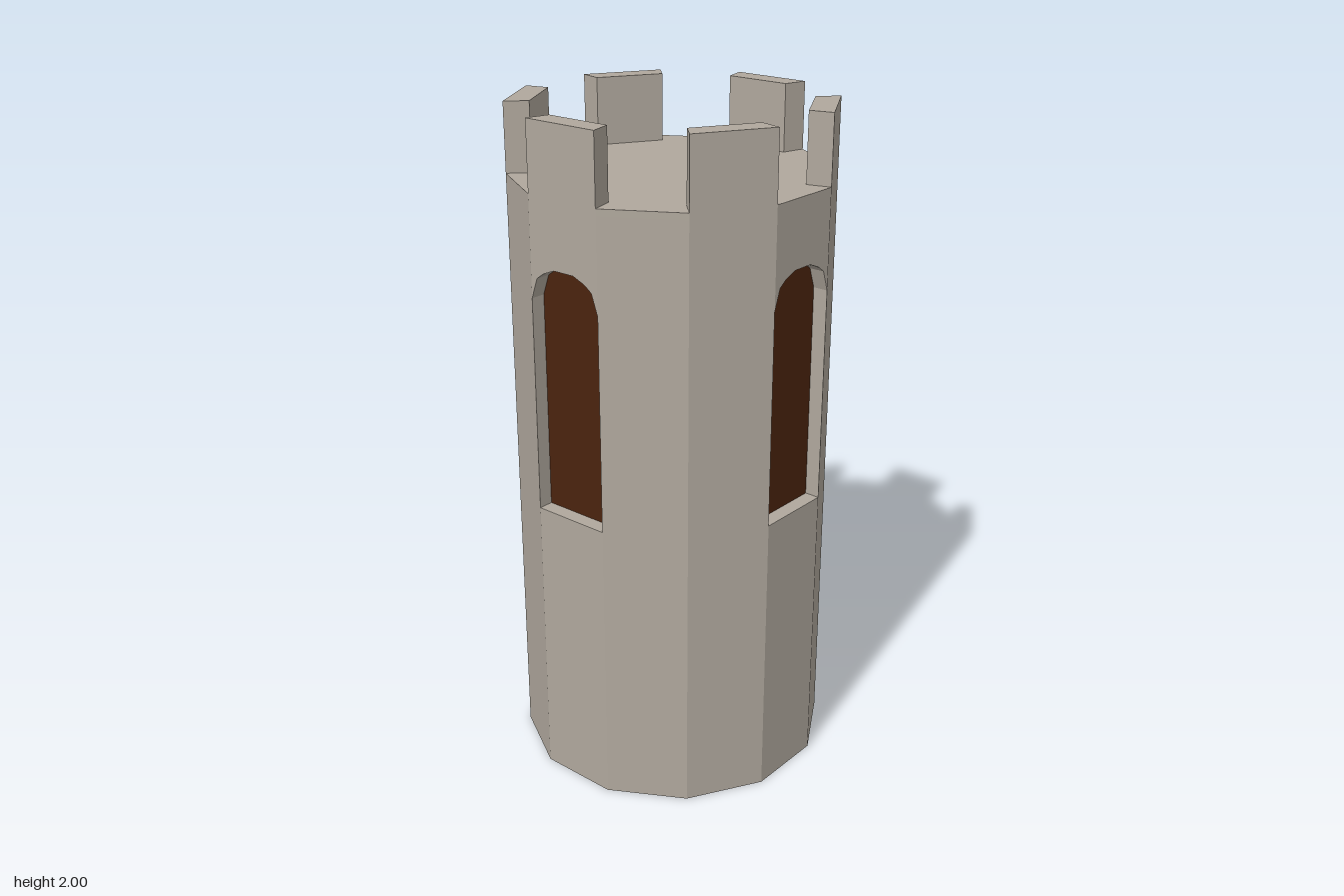
import * as THREE from 'three';

const SIDES = 12;
const APOTHEM = 0.453;
const HALF = APOTHEM * Math.tan(Math.PI / SIDES); // half width of one face
const WALL = 0.07;
const DECK = 1.8;
const SLAB = 0.02;

export function createModel() {
  const stone = new THREE.MeshStandardMaterial({ color: 0xb0a89d });
  stone.name = 'warm grey stone';
  const wood = new THREE.MeshStandardMaterial({ color: 0x4a230e, side: THREE.DoubleSide });
  wood.name = 'dark brown wood';

  const tower = new THREE.Group();
  tower.name = 'tower';

  const polygon = (points) => new THREE.Shape(points.map(([x, y]) => new THREE.Vector2(x, y)));
  const rect = (half, y0, y1) => polygon([[-half, y0], [half, y0], [half, y1], [-half, y1]]);

  // Places a mesh on one face of the tower
  const addToFace = (geometry, material, name, face, distance) => {
    geometry.translate(0, 0, distance);
    geometry.rotateY((face * 2 * Math.PI) / SIDES);
    const mesh = new THREE.Mesh(geometry, material);
    mesh.name = name;
    tower.add(mesh);
  };

  // Thick wall piece whose side edges are mitred inward by the given angle
  const addWall = (shape, name, face, mitre) => {
    const geometry = new THREE.ExtrudeGeometry(shape, { depth: WALL, bevelEnabled: false });
    const pos = geometry.attributes.position;
    const shift = WALL * Math.tan(mitre);
    for (let i = 0; i < pos.count; i++) {
      const x = pos.getX(i);
      if (pos.getZ(i) < WALL / 2 && Math.abs(x) > HALF - 0.001) pos.setX(i, x - Math.sign(x) * shift);
    }
    geometry.computeVertexNormals();
    addToFace(geometry, stone, name, face, APOTHEM - WALL);
  };

  // Arched doorways fill the front face and the right-hand face
  const sill = 0.875;
  const arch = [[HALF, 1.51], [0.1, 1.57], [0.075, 1.588], [0.035, 1.604],
    [-0.035, 1.604], [-0.075, 1.588], [-0.1, 1.57], [-HALF, 1.51]];
  const doors = [0, 9];
  // Bottom height of the arrow slit on each face that has one
  const slits = { 2: 0.89, 3: 1.32, 4: 0.89, 5: 1.305, 6: 1.305, 7: 0.89 };
  const top = DECK - SLAB;

  for (let face = 0; face < SIDES; face++) {
    if (doors.includes(face)) {
      addWall(rect(HALF, SLAB, sill), 'wallBelowDoor', face, 0);
      addWall(polygon([...arch].reverse().concat([[HALF, top], [-HALF, top]])), 'wallAboveDoor', face, 0);
      const leaf = polygon([[-HALF, sill], [HALF, sill], ...arch]);
      addToFace(new THREE.ShapeGeometry(leaf), wood, 'door', face, APOTHEM - 0.045);
    } else {
      const wall = rect(HALF, SLAB, top);
      if (face in slits) wall.holes.push(rect(0.012, slits[face], slits[face] + 0.325));
      // The 30 degree mitre leaves straight jambs beside the doors
      addWall(wall, 'wall', face, Math.PI / 6);
    }
    // Merlons on every second face
    if (face % 2) addWall(rect(HALF, DECK, 2), 'merlon', face, Math.PI / SIDES);
  }

  // Base and roof deck
  for (const [name, y] of [['base', SLAB / 2], ['deck', DECK - SLAB / 2]]) {
    const radius = APOTHEM / Math.cos(Math.PI / SIDES);
    const slab = new THREE.CylinderGeometry(radius, radius, SLAB, SIDES).toNonIndexed();
    slab.computeVertexNormals();
    slab.rotateY(Math.PI / SIDES);
    slab.translate(0, y, 0);
    const mesh = new THREE.Mesh(slab, stone);
    mesh.name = name;
    tower.add(mesh);
  }
  return tower;
}
